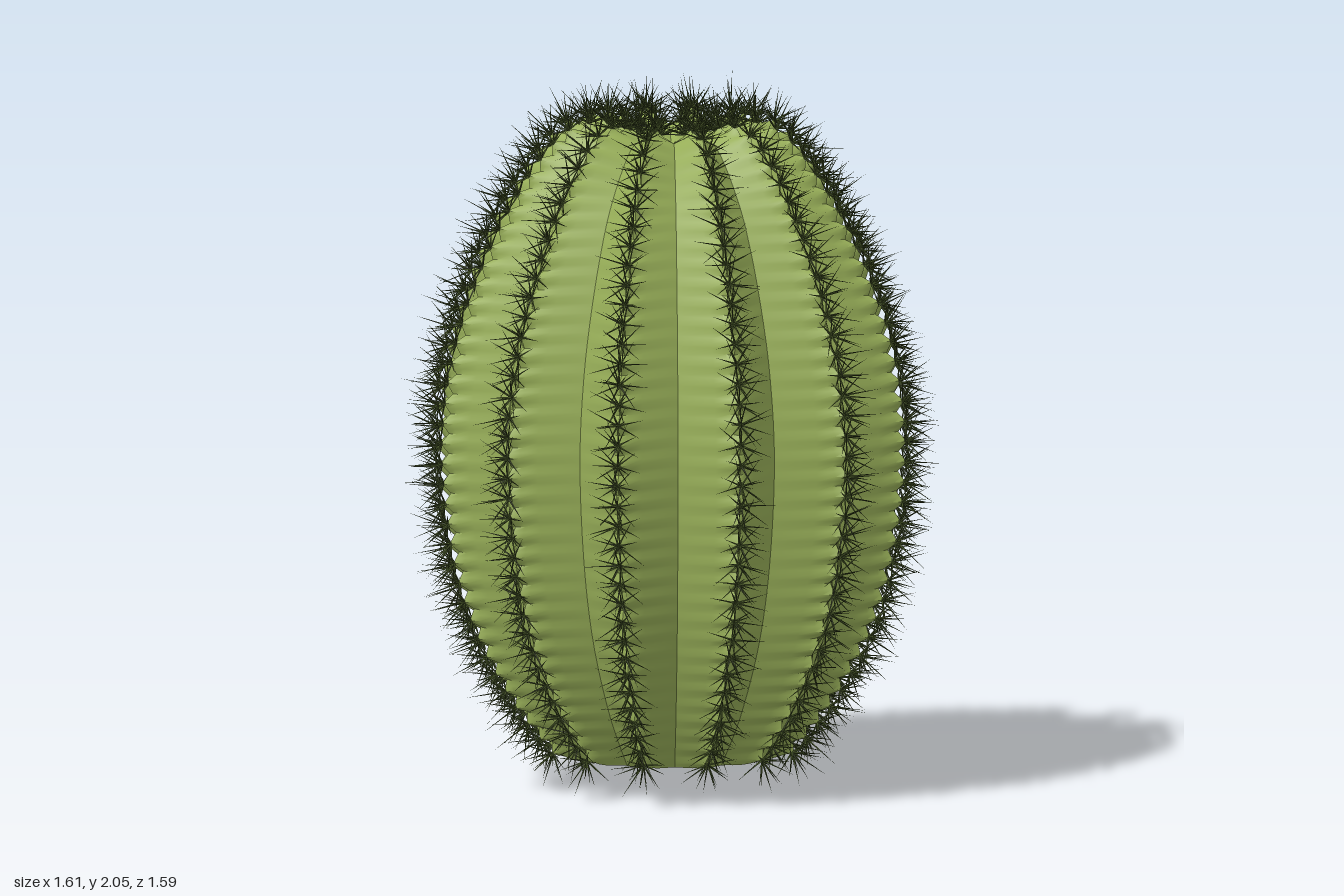
import * as THREE from 'three';
import { mergeGeometries, toCreasedNormals } from 'three/addons/utils/BufferGeometryUtils.js';

const RIBS = 12, AREOLES = 40, STEPS = 4;
const ROWS = AREOLES * STEPS;

// ridge profile as (radius, height), from the open base over the crown to the centre
const profile = new THREE.SplineCurve([
  [0.33, 0.04], [0.46, 0.2], [0.58, 0.42], [0.65, 0.66], [0.68, 0.95], [0.65, 1.2], [0.58, 1.42],
  [0.49, 1.61], [0.38, 1.78], [0.29, 1.86], [0.2, 1.865], [0.1, 1.83], [0, 1.79],
].map(p => new THREE.Vector2(...p)));
profile.arcLengthDivisions = 600;

let seed = 7;
const random = () => (seed = (seed * 16807) % 2147483647) / 2147483647;
const around = (r, y, a) => new THREE.Vector3(r * Math.sin(a), y, r * Math.cos(a));

// ribbed skin: straight flanks from ridge to valley, scalloped along the ridges
function bodyGeometry() {
  const half = Math.PI / RIBS;
  const columns = [];
  for (let k = 0; k < RIBS; k++)
    for (const s of [-1, -0.4, -0.15, 0, 0.15, 0.4]) columns.push([k * 2 * half, s]);
  const n = columns.length, positions = [], index = [];
  for (let i = 0; i <= ROWS; i++) {
    const p = profile.getPointAt(i / ROWS), t = profile.getTangentAt(i / ROWS);
    const bump = 0.012 * Math.cos(2 * Math.PI * (i / STEPS - 0.5)) * Math.min(1, p.x / 0.2);
    const crown = THREE.MathUtils.smoothstep(p.y, 1.6, 1.85) * Math.min(1, p.x / 0.2);
    for (const [angle, s] of columns) {
      const w = Math.abs(s), lift = bump * (1 - w) ** 3;
      const ridge = around(p.x + t.y * lift, p.y - t.x * lift, angle);
      const valley = around(p.x * 0.82, p.y - 0.035 * crown, angle + Math.sign(s) * half);
      positions.push(...ridge.lerp(valley, w));
    }
  }
  for (let i = 0; i < ROWS; i++)
    for (let j = 0; j < n; j++) {
      const a = i * n + j, b = i * n + (j + 1) % n;
      index.push(a, b, b + n);
      if (i < ROWS - 1) index.push(a, b + n, a + n);
    }
  const g = new THREE.BufferGeometry();
  g.setAttribute('position', new THREE.Float32BufferAttribute(positions, 3));
  g.setIndex(index);
  return toCreasedNormals(g, 0.7);
}

// one needle, base at the origin and pointing along +y
const needle = new THREE.ConeGeometry(0.0035, 1, 3, 1, true).translate(0, 0.5, 0);
const UP = new THREE.Vector3(0, 1, 0);

// star of needles around an outward normal: low ring, raised ring, central spine
function addCluster(list, base, normal) {
  const toNormal = new THREE.Quaternion().setFromUnitVectors(UP, normal);
  for (const [count, tilt, length] of [[8, 1.2, 0.085], [5, 0.65, 0.095], [1, 0.1, 0.1]]) {
    const start = random() * 6.28;
    for (let k = 0; k < count; k++) {
      const a = start + (k + 0.5 * random()) / count * Math.PI * 2;
      const b = tilt + (random() - 0.5) * 0.4;
      const dir = new THREE.Vector3(Math.sin(b) * Math.cos(a), Math.cos(b), Math.sin(b) * Math.sin(a))
        .applyQuaternion(toNormal);
      const q = new THREE.Quaternion().setFromUnitVectors(UP, dir);
      const scale = new THREE.Vector3(1, length * (0.75 + 0.5 * random()), 1);
      list.push(needle.clone().applyMatrix4(new THREE.Matrix4().compose(base, q, scale)));
    }
  }
}

export function createModel() {
  const cactus = new THREE.Group();
  cactus.name = 'barrelCactus';

  const skin = new THREE.MeshStandardMaterial({ color: 0x97ae58, side: THREE.DoubleSide });
  const body = new THREE.Mesh(bodyGeometry(), skin);
  body.name = 'ribbedBody';
  cactus.add(body);

  // spine clusters on every scallop of every ridge
  const spineMaterial = new THREE.MeshStandardMaterial({ color: 0x4a5a2a });
  for (let k = 0; k < RIBS; k++) {
    const angle = k * 2 * Math.PI / RIBS, needles = [];
    for (let i = 0; i < AREOLES; i++) {
      const u = (i + 0.5) / AREOLES;
      const p = profile.getPointAt(u), t = profile.getTangentAt(u);
      if (p.x < 0.09) continue;
      const normal = around(t.y, -t.x, angle).normalize();
      addCluster(needles, around(p.x, p.y, angle).addScaledVector(normal, 0.008), normal);
    }
    const spines = new THREE.Mesh(mergeGeometries(needles), spineMaterial);
    spines.name = 'ribSpines' + (k + 1);
    cactus.add(spines);
  }
  return cactus;
}
